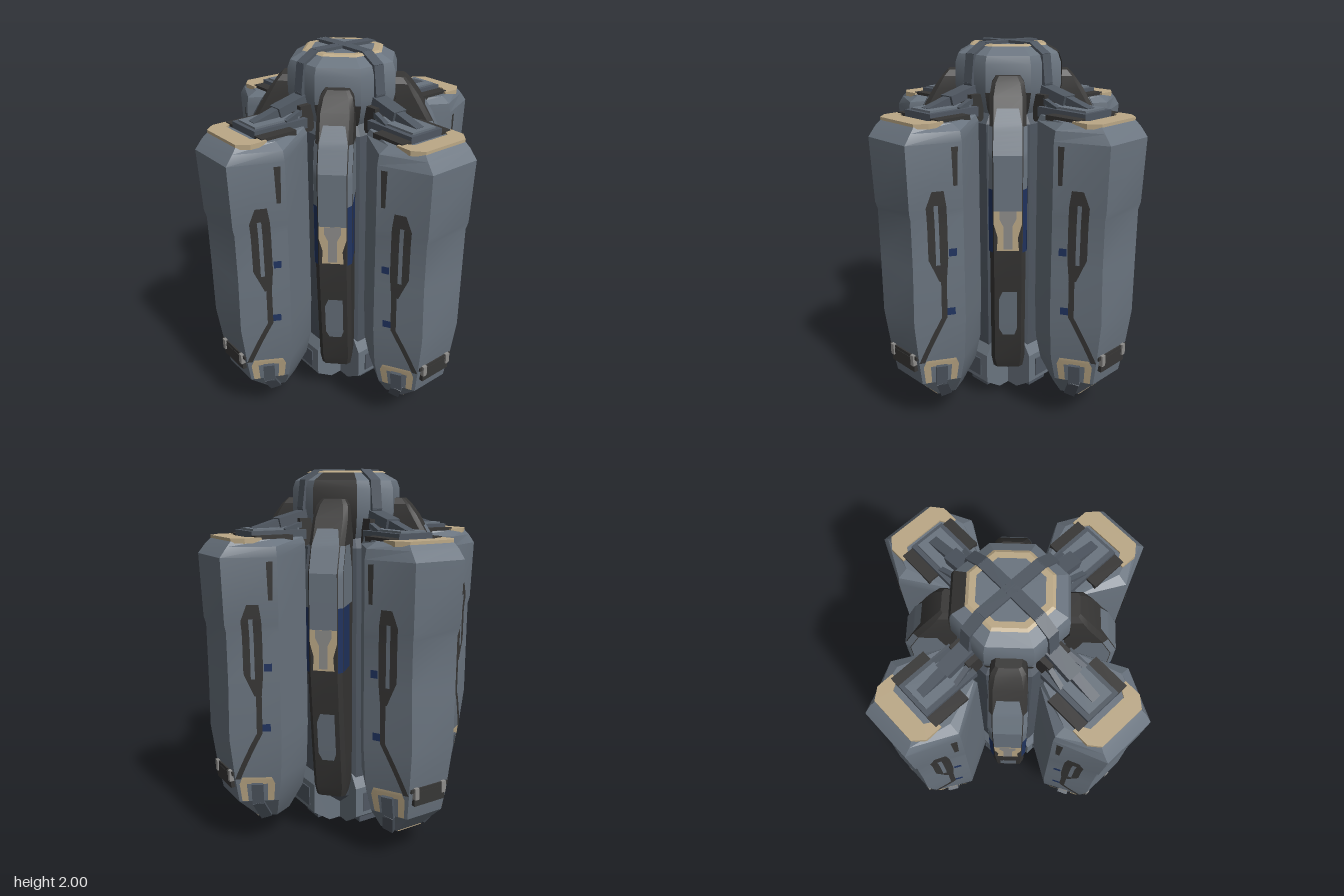
import * as THREE from 'three';
import { toCreasedNormals } from 'three/addons/utils/BufferGeometryUtils.js';

const paint = (name, color) => {
  const m = new THREE.MeshStandardMaterial({ color, side: THREE.DoubleSide });
  m.name = name;
  return m;
};
const M = {
  hull: paint('hull grey', 0x6a747f),
  dark: paint('charcoal', 0x373635),
  steel: paint('dark steel', 0x4f5761),
  tan: paint('tan', 0xbba886),
  blue: paint('navy blue', 0x20335f),
  pale: paint('pale grey', 0x8d8c8a),
};
const V = (x, y, z) => new THREE.Vector3(x, y, z);

function add(parent, name, geo, mat) {
  const m = new THREE.Mesh(toCreasedNormals(geo, 0.35), mat);
  m.name = name;
  parent.add(m);
  return m;
}

function box(parent, name, mat, w, h, d, x, y, z) {
  return add(parent, name, new THREE.BoxGeometry(w, h, d).translate(x, y, z), mat);
}

// Box running from a to b, its thickness h along "up"
function bar(parent, name, mat, a, b, w, h, up = V(0, 1, 0)) {
  const m = new THREE.Matrix4().lookAt(a, b, up);
  m.setPosition(a.clone().add(b).multiplyScalar(0.5));
  return add(parent, name, new THREE.BoxGeometry(w, h, a.distanceTo(b) + h * 0.4).applyMatrix4(m), mat);
}

function indexed(pos, idx) {
  const g = new THREE.BufferGeometry();
  g.setAttribute('position', new THREE.Float32BufferAttribute(pos, 3));
  g.setIndex(idx);
  g.computeVertexNormals();
  return g;
}

// Mirrored cross-section from a row [y, x0,z0, x1,z1, ...]
function ring(row) {
  const half = [];
  for (let i = 1; i < row.length; i += 2) half.push([row[i], row[i + 1]]);
  return [...half, ...half.map(([x, z]) => [-x, z]).reverse()];
}

function loft(rows) {
  const pos = [], idx = [], n = rows[0].length - 1;
  rows.forEach((r) => ring(r).forEach(([x, z]) => pos.push(x, r[0], z)));
  for (let k = 0; k < rows.length - 1; k++) for (let i = 0; i < n; i++) {
    const a = k * n + i, b = k * n + (i + 1) % n;
    idx.push(a, b, b + n, a, b + n, a + n);
  }
  const top = (rows.length - 1) * n;
  for (let i = 1; i < n - 1; i++) idx.push(0, i + 1, i, top, top + i, top + i + 1);
  return indexed(pos, idx);
}

// Point on the loft face between ring corners a and b, lifted off the surface
function onFace(rows, a, b, t, y, lift) {
  let k = 0;
  while (k < rows.length - 2 && rows[k + 1][0] < y) k++;
  const f = (y - rows[k][0]) / (rows[k + 1][0] - rows[k][0]);
  const p = ring(rows[k].map((v, i) => v + (rows[k + 1][i] - v) * f));
  const [ax, az] = p[a], [bx, bz] = p[b];
  const n = V(bz - az, 0, ax - bx).normalize();
  const cz = p.reduce((s, q) => s + q[1], 0) / p.length;
  if (n.x * (ax + bx) / 2 + n.z * ((az + bz) / 2 - cz) < 0) n.negate();
  return V(ax + (bx - ax) * t, y, az + (bz - az) * t).addScaledVector(n, lift);
}

// Thin painted plate on a loft face; spans are [y, t0, t1]
function plate(parent, name, mat, rows, a, b, spans, lift = 0.006) {
  const pos = [], idx = [], steps = 6;
  for (let s = 0; s < spans.length - 1; s++) for (let i = s ? 1 : 0; i <= steps; i++) {
    const [y, t0, t1] = spans[s].map((v, j) => v + (spans[s + 1][j] - v) * i / steps);
    pos.push(...onFace(rows, a, b, t0, y, lift), ...onFace(rows, a, b, t1, y, lift));
  }
  for (let i = 0; i < pos.length / 3 - 2; i += 2) idx.push(i, i + 1, i + 3, i, i + 3, i + 2);
  add(parent, name, indexed(pos, idx), mat);
}

const podRows = [
  [0.15, 0.08, 0.62, 0.12, 0.53, 0.07, 0.43],
  [0.28, 0.11, 0.745, 0.205, 0.56, 0.1, 0.36],
  [0.42, 0.12, 0.768, 0.24, 0.56, 0.12, 0.34],
  [0.65, 0.13, 0.795, 0.255, 0.56, 0.12, 0.33],
  [0.95, 0.135, 0.79, 0.255, 0.56, 0.12, 0.33],
  [1.21, 0.135, 0.79, 0.255, 0.56, 0.12, 0.33],
  [1.25, 0.14, 0.8, 0.255, 0.56, 0.12, 0.33],
  [1.58, 0.145, 0.81, 0.255, 0.56, 0.12, 0.33],
  [1.63, 0.14, 0.77, 0.245, 0.56, 0.12, 0.33],
  [1.66, 0.13, 0.74, 0.19, 0.56, 0.11, 0.34],
];

function makePod() {
  const g = new THREE.Group();
  g.name = 'outerPod';
  add(g, 'podBody', loft(podRows), M.hull);
  for (const [a, b, s] of [[0, 1, 1], [5, 4, -1]]) {
    const p = (name, mat, spans, lift) => plate(g, name, mat, podRows, a, b, spans, lift);
    p('sidePanel', M.dark, [[0.88, 0.5, 0.64], [1, 0.3, 0.68], [1.27, 0.3, 0.68], [1.35, 0.42, 0.64]]);
    p('sidePanelInlay', M.hull, [[0.97, 0.44, 0.52], [1.28, 0.44, 0.52]], 0.009);
    p('seamLine', M.dark, [[0.42, 0, 0.12], [0.68, 0.53, 0.64], [0.9, 0.53, 0.64]]);
    p('upperStreak', M.dark, [[1.37, 0.82, 0.9], [1.56, 0.8, 0.92]]);
    p('blueMark', M.blue, [[1.01, 0.7, 0.85], [1.05, 0.7, 0.85]]);
    p('blueMark', M.blue, [[0.69, 0.64, 0.8], [0.73, 0.64, 0.8]]);
    // Tan surround and strap at the foot of the pod
    p('footFrameLeg', M.tan, [[0.285, 0.08, 0.24], [0.39, 0.08, 0.24], [0.43, 0.16, 0.24]]);
    p('footFrameLeg', M.tan, [[0.285, 0.72, 0.88], [0.39, 0.72, 0.88], [0.43, 0.72, 0.8]]);
    p('footFrameTop', M.tan, [[0.39, 0.2, 0.76], [0.43, 0.2, 0.76]]);
    const q = [[0.39, 0.48], [0.28, 0.48], [0.165, 0.45]].map(([y, t]) => onFace(podRows, a, b, t, y, 0.008));
    for (let i = 0; i < 2; i++) bar(g, 'footStrap', M.steel, q[i], q[i + 1], 0.06, 0.03, V(s * 0.85, 0, 0.5));
    // Top trim
    box(g, 'topDarkPad', M.dark, 0.06, 0.025, 0.2, s * 0.13, 1.663, 0.52);
    box(g, 'lowerPin', M.pale, 0.025, 0.06, 0.03, s * 0.085, 0.43, 0.775);
  }
  box(g, 'lowerClamp', M.dark, 0.19, 0.075, 0.04, 0, 0.4, 0.762);
  box(g, 'lowerClampLip', M.dark, 0.23, 0.02, 0.03, 0, 0.445, 0.765);
  box(g, 'undersideBlock', M.steel, 0.12, 0.05, 0.13, 0, 0.155, 0.53);
  box(g, 'undersideTrim', M.tan, 0.15, 0.02, 0.05, 0, 0.16, 0.6);
  // Tan bracket around the top edge
  const s = new THREE.Shape([[-0.13, 0.745], [-0.175, 0.69], [-0.175, 0.6], [-0.14, 0.6], [-0.11, 0.65],
    [0.11, 0.65], [0.14, 0.6], [0.175, 0.6], [0.175, 0.69], [0.13, 0.745]].map(([x, y]) => new THREE.Vector2(x, y)));
  add(g, 'topBracket', new THREE.ExtrudeGeometry(s, { depth: 0.025, bevelEnabled: false })
    .rotateX(Math.PI / 2).translate(0, 1.67, 0), M.tan);
  box(g, 'topPlatform', M.steel, 0.2, 0.05, 0.31, 0, 1.67, 0.465);
  box(g, 'topPlatformCover', M.hull, 0.15, 0.03, 0.26, 0, 1.69, 0.47);
  // Strut linking the pod to the core
  box(g, 'strutRoot', M.dark, 0.14, 0.14, 0.08, 0, 1.68, 0.29);
  bar(g, 'strut', M.steel, V(0, 1.77, 0.26), V(0, 1.73, 0.42), 0.08, 0.05);
  bar(g, 'strut', M.steel, V(0, 1.73, 0.42), V(0, 1.69, 0.56), 0.05, 0.04);
  for (const k of [-1, 1])
    bar(g, 'strutBrace', M.steel, V(k * 0.05, 1.73, 0.28), V(k * 0.075, 1.69, 0.42), 0.025, 0.03);
  return g;
}

const armRows = [
  [0.27, 0.06, 0.41, 0.08, 0.39, 0.08, 0.31],
  [0.33, 0.07, 0.43, 0.09, 0.4, 0.09, 0.29],
  [0.55, 0.07, 0.465, 0.09, 0.44, 0.09, 0.27],
  [0.8, 0.07, 0.5, 0.09, 0.475, 0.09, 0.27],
  [1.0, 0.07, 0.525, 0.09, 0.5, 0.09, 0.27],
  [1.5, 0.07, 0.525, 0.09, 0.5, 0.09, 0.27],
  [1.63, 0.07, 0.47, 0.09, 0.445, 0.09, 0.26],
  [1.76, 0.07, 0.395, 0.09, 0.37, 0.085, 0.24],
  [1.82, 0.06, 0.35, 0.08, 0.335, 0.08, 0.235],
  [1.85, 0.045, 0.32, 0.06, 0.31, 0.06, 0.25],
];

function makeArm() {
  const g = new THREE.Group();
  g.name = 'diagonalArm';
  add(g, 'armBody', loft(armRows), M.dark);
  const front = (name, mat, spans, lift) => plate(g, name, mat, armRows, 5, 0, spans, lift);
  front('armCover', M.hull, [[1.22, 0, 1], [1.5, 0, 1], [1.63, 0, 1], [1.71, 0.12, 0.88]]);
  front('armBadgePlate', M.tan, [[1.01, 0.1, 0.9], [1.08, 0.14, 0.86], [1.15, 0, 1], [1.22, 0, 1]]);
  front('armBadgeInlay', M.pale, [[1.02, 0.34, 0.66], [1.14, 0.34, 0.66], [1.18, 0.2, 0.8], [1.22, 0.2, 0.8]], 0.009);
  front('lowerWindow', M.hull, [[0.5, 0.3, 0.75], [0.54, 0.16, 0.84], [0.72, 0.16, 0.84], [0.77, 0.3, 0.84]]);
  for (const [a, b, c] of [[0, 1, 2], [5, 4, 3]]) {
    plate(g, 'armCoverEdge', M.hull, armRows, a, b, [[1.33, 0, 1], [1.5, 0, 1], [1.63, 0, 1]]);
    plate(g, 'armSideCover', M.hull, armRows, b, c, [[1.33, 0, 0.85], [1.5, 0, 0.85], [1.63, 0, 0.5]]);
    plate(g, 'blueEdge', M.blue, armRows, a, b, [[1, 0, 1], [1.33, 0, 1]]);
    plate(g, 'blueSide', M.blue, armRows, b, c, [[1, 0, 0.6], [1.33, 0, 0.6]]);
  }
  return g;
}

// Eight-sided turned shape from [apothem, y] pairs
function octagon(profile, sides = 8, start = Math.PI / 8) {
  const pts = profile.map(([r, y]) => new THREE.Vector2(r / Math.cos(Math.PI / 8), y));
  return new THREE.LatheGeometry(pts, sides, start, sides * Math.PI / 4);
}

function makeCore() {
  const g = new THREE.Group();
  g.name = 'core';
  add(g, 'coreBody', octagon([[0, 0.1], [0.16, 0.1], [0.25, 0.2], [0.27, 0.35], [0.27, 1.6], [0.22, 1.66], [0, 1.66]]), M.steel);
  const head = [[0.2, 1.6], [0.25, 1.68], [0.275, 1.78], [0.272, 1.9], [0.258, 1.94], [0.185, 1.982]];
  add(g, 'head', octagon([...head, [0, 1.985]]), M.hull);
  add(g, 'headDarkFacet', octagon(head.map(([r, y]) => [r + 0.005, y + 0.002]), 1, Math.PI * 5 / 8), M.dark);
  for (const k of [1, 9, 13])
    add(g, 'headLowerPatch', octagon([[0.207, 1.6], [0.257, 1.68], [0.278, 1.76]], 1, k * Math.PI / 8), M.dark);
  add(g, 'headTanBand', octagon([[0.2, 1.98], [0.185, 1.989], [0.155, 1.989]]), M.tan);
  // Ribs over the head, lower petals and clamps, one set per quarter
  const rib = [[0, 1.987], [0.18, 1.985], [0.262, 1.937], [0.28, 1.8], [0.235, 1.64]];
  const petal = new THREE.Shape([[0, 0.1], [0.08, 0.03], [0.2, 0.03], [0.3, 0.1], [0.3, 0.27], [0.22, 0.4], [0, 0.4]]
    .map(([x, y]) => new THREE.Vector2(x, y)));
  for (let q = 0; q < 4; q++) {
    const s = new THREE.Group();
    s.name = 'coreQuarter';
    s.rotation.y = q * Math.PI / 2;
    for (let i = 0; i < 4; i++) {
      const [a, b] = [rib[i], rib[i + 1]].map(([r, y]) => V(0, y, r));
      bar(s, 'headRib', M.steel, a, b, 0.06, 0.026, V(0, 1, i < 2 ? 0 : 1));
    }
    add(s, 'lowerPetal', new THREE.ExtrudeGeometry(petal, { depth: 0.26, bevelEnabled: false })
      .translate(0, 0, -0.13).rotateY(-Math.PI / 2), M.hull);
    box(s, 'petalInset', M.steel, 0.16, 0.11, 0.012, 0, 0.18, 0.3);
    box(s, 'lowerClamp', M.steel, 0.13, 0.12, 0.1, 0, 0.085, 0.19);
    add(s, 'lowerPin', new THREE.CylinderGeometry(0.014, 0.014, 0.05, 8).translate(0, 0.025, 0.12), M.dark);
    g.add(s);
  }
  return g;
}

export function createModel() {
  const model = new THREE.Group();
  model.name = 'podCluster';
  model.add(makeCore());
  for (let q = 0; q < 4; q++) {
    const pod = makePod(), arm = makeArm();
    pod.rotation.y = q * Math.PI / 2;
    arm.rotation.y = (q + 0.5) * Math.PI / 2;
    model.add(pod, arm);
  }
  return model;
}
